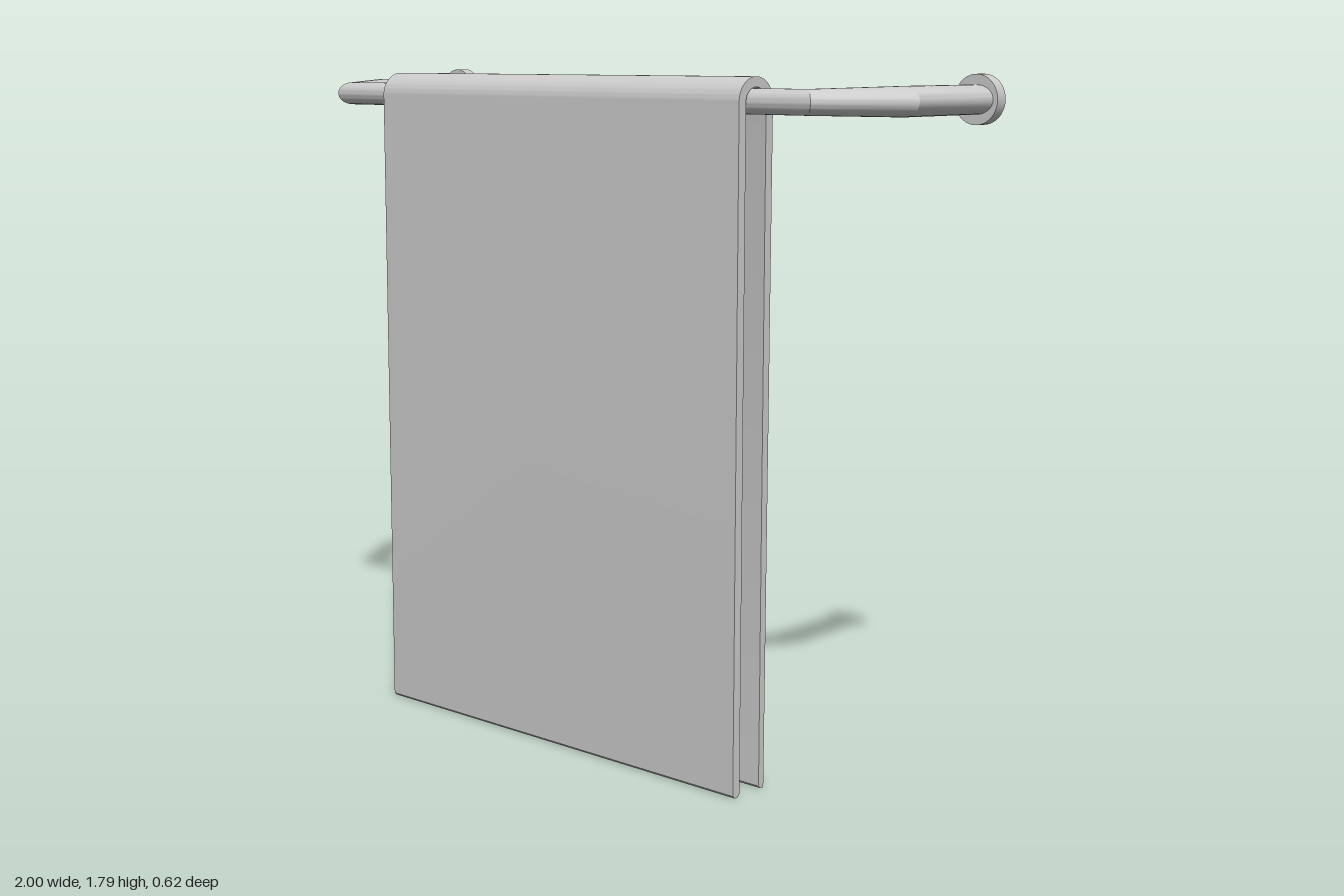
import * as THREE from 'three';
import { toCreasedNormals } from 'three/addons/utils/BufferGeometryUtils.js';

const Y = 1.723, BAR_Z = 0.246;
const grey = new THREE.MeshStandardMaterial({ color: 0xcccccc });

function add(parent, name, geometry) {
  const mesh = new THREE.Mesh(geometry, grey);
  mesh.name = name;
  parent.add(mesh);
  return mesh;
}

// Lofts elliptical rings; each section is [x1, z1, x2, z2, halfHeight].
function loft(sections, sides = 32) {
  const pos = [], index = [];
  for (const [x1, z1, x2, z2, h] of sections) {
    for (let i = 0; i < sides; i++) {
      const a = (i / sides) * Math.PI * 2, c = Math.cos(a) / 2;
      pos.push((x1 + x2) / 2 + (x1 - x2) * c, Y + h * Math.sin(a), (z1 + z2) / 2 + (z1 - z2) * c);
    }
  }
  for (let s = 0; s < sections.length - 1; s++) {
    for (let i = 0; i < sides; i++) {
      const j = (i + 1) % sides, a = s * sides, b = a + sides;
      index.push(a + i, b + i, a + j, a + j, b + i, b + j);
    }
  }
  const g = new THREE.BufferGeometry();
  g.setAttribute('position', new THREE.Float32BufferAttribute(pos, 3));
  g.setIndex(index);
  return toCreasedNormals(g, 0.4);
}

// Folded cloth profile: two hanging sheets joined by an arch over the bar.
function towelGeometry() {
  const ro = 0.064, ri = 0.038, e = 0.007, width = 1.27;
  const s = new THREE.Shape();
  s.moveTo(ro, e);
  s.absellipse(0, Y, ro, 0.059, 0, Math.PI, false);
  s.lineTo(-ro, e);
  s.lineTo(-ro + e, 0);
  s.lineTo(-ri - e, 0);
  s.lineTo(-ri, e);
  s.absellipse(0, Y, ri, 0.034, Math.PI, 0, true);
  s.lineTo(ri, e);
  s.lineTo(ri + e, 0);
  s.lineTo(ro - e, 0);
  const g = new THREE.ExtrudeGeometry(s, { depth: width, bevelEnabled: false, curveSegments: 24 });
  g.rotateY(Math.PI / 2);
  g.translate(-0.61, 0, BAR_Z);
  return toCreasedNormals(g, 0.4);
}

export function createModel() {
  const model = new THREE.Group();
  model.name = 'towelRail';

  // Rail: wall arm, slanted elbow, straight bar, then the mirrored half
  const half = [
    [-0.987, -0.28, -0.887, -0.28, 0.037],
    [-0.987, 0.04, -0.887, 0.03, 0.037],
    [-0.845, 0.276, -0.785, 0.217, 0.031],
  ];
  const mirrored = half.map(([a, b, c, d, h]) => [-a, b, -c, d, h]).reverse();
  add(model, 'rail', loft([...half, ...mirrored]));

  // Round wall plates
  for (const [side, name] of [[1, 'leftWallPlate'], [-1, 'rightWallPlate']]) {
    const plate = new THREE.CylinderGeometry(0.063, 0.063, 0.036, 40);
    plate.rotateX(Math.PI / 2);
    add(model, name, plate).position.set(side * 0.937, Y, -0.292);
  }

  add(model, 'towel', towelGeometry());
  return model;
}
